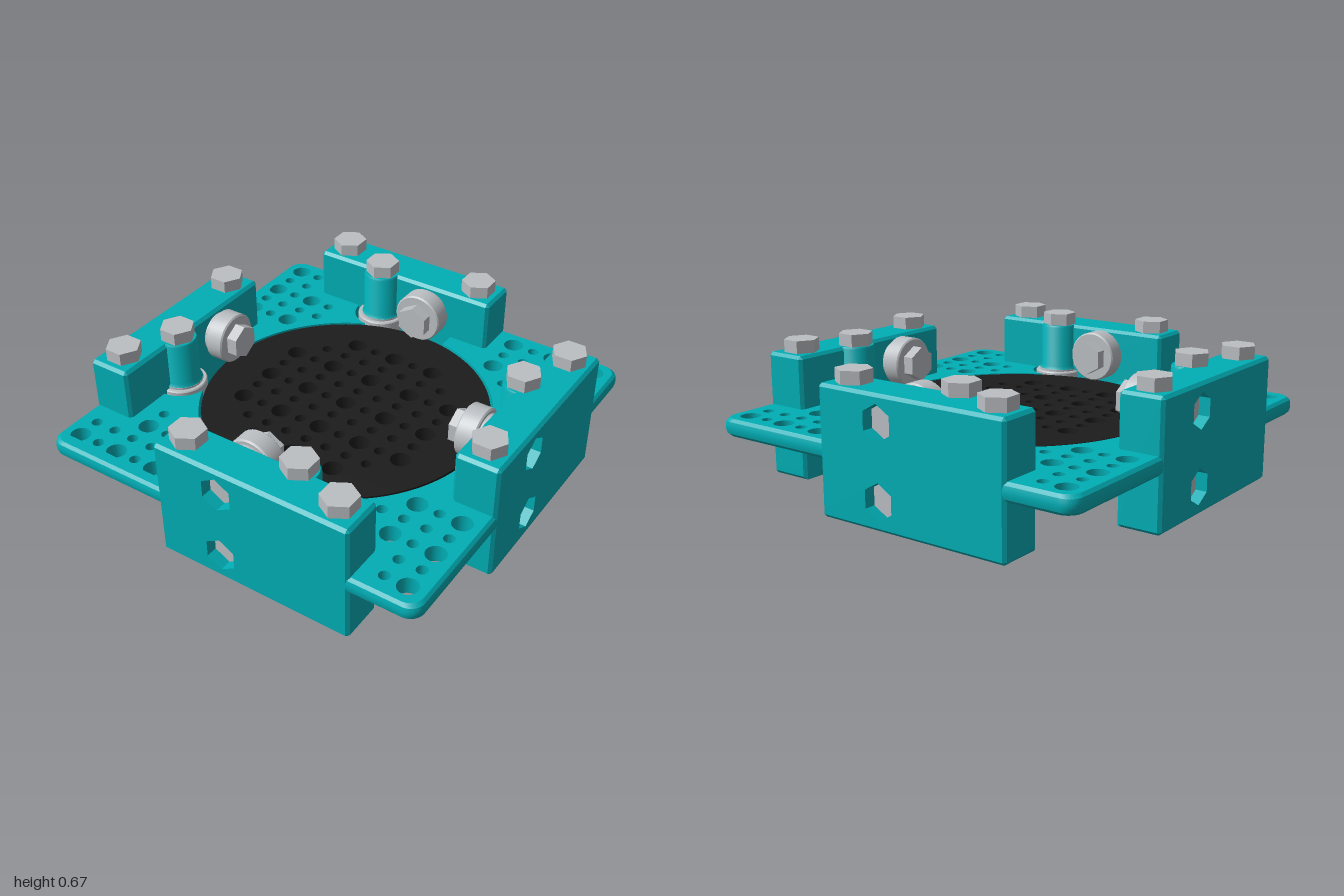
import * as THREE from 'three';
import { toCreasedNormals } from 'three/addons/utils/BufferGeometryUtils.js';

const PITCH = 0.112;

const mat = (name, color) => {
  const m = new THREE.MeshStandardMaterial({ color });
  m.name = name;
  return m;
};

export function createModel() {
  const teal = mat('teal', 0x00aeb5);
  const steel = mat('steel', 0xbbbfc3);
  const black = mat('black', 0x1c1c1c);
  const model = new THREE.Group();
  model.name = 'rollerStage';

  const add = (parent, name, geo, material, crease = 0.6) => {
    const m = new THREE.Mesh(toCreasedNormals(geo, crease), material);
    m.name = name;
    parent.add(m);
    return m;
  };

  // Move every vertex of a geometry by a rule
  const reshape = (geo, rule) => {
    const p = geo.attributes.position;
    const v = new THREE.Vector3();
    for (let i = 0; i < p.count; i++) {
      rule(v.fromBufferAttribute(p, i));
      p.setXYZ(i, v.x, v.y, v.z);
    }
    return geo;
  };

  const circle = (x, y, r) => new THREE.Path().absarc(x, y, r, 0, Math.PI * 2, true);

  // Hexagonal outline with a corner pointing along the second axis
  const hexPath = (x, y, r) => {
    const pts = [];
    for (let k = 0; k < 6; k++) {
      const a = Math.PI / 2 - k * Math.PI / 3;
      pts.push(new THREE.Vector2(x + r * Math.cos(a), y + r * Math.sin(a)));
    }
    return new THREE.Path(pts);
  };

  // Grid hole: wide where both indices are even, narrow elsewhere
  const gridHole = (i, j) =>
    circle(i * PITCH, j * PITCH, i % 2 === 0 && j % 2 === 0 ? 0.049 : 0.027);

  // Extrude a plan (x, z) shape between two heights
  const slab = (shape, y0, y1, steps = 1, curveSegments = 10) => {
    const g = new THREE.ExtrudeGeometry(shape, { depth: y1 - y0, bevelEnabled: false, steps, curveSegments });
    return g.rotateX(Math.PI / 2).translate(0, y1, 0);
  };

  // Perforated turntable disc
  const discShape = new THREE.Shape();
  for (let k = 0; k < 96; k++) {
    const a = k * Math.PI / 48;
    if (k === 0) discShape.moveTo(0.7, 0);
    else discShape.lineTo(0.7 * Math.cos(a), 0.7 * Math.sin(a));
  }
  for (let i = -4; i <= 4; i++) {
    for (let j = -4; j <= 4; j++) {
      if (Math.abs(i) + Math.abs(j) <= 6) discShape.holes.push(gridHole(i, j));
    }
  }
  add(model, 'turntableDisc', slab(discShape, 0.268, 0.352), black);

  // Frame plate with rounded corners
  const c = 0.93, r = 0.07;
  const plate = new THREE.Shape();
  plate.absarc(c, c, r, 0, Math.PI / 2, false);
  plate.absarc(-c, c, r, Math.PI / 2, Math.PI, false);
  plate.absarc(-c, -c, r, Math.PI, Math.PI * 1.5, false);
  plate.absarc(c, -c, r, Math.PI * 1.5, Math.PI * 2, false);

  // One quarter of the central opening: arc, wheel notch, bearing notch, arc
  const postX = 0.29, postZ = 0.785;
  const quarter = [];
  const arc = (cx, cz, rad, from, to, n) => {
    for (let k = 0; k <= n; k++) {
      const a = THREE.MathUtils.degToRad(from + (to - from) * k / n);
      quarter.push([cx + rad * Math.sin(a), cz + rad * Math.cos(a)]);
    }
  };
  arc(0, 0, 0.712, -44, -11.1, 14);
  quarter.push([-0.137, 0.79], [0.14, 0.79], [postX + 0.142, 0.79]);
  arc(postX, postZ, 0.142, 90, 174, 14);
  arc(0, 0, 0.712, 25.5, 45, 8);
  const opening = [];
  for (let q = 0; q < 4; q++) {
    const a = q * Math.PI / 2;
    for (const [x, z] of quarter) {
      opening.push(new THREE.Vector2(x * Math.cos(a) + z * Math.sin(a), z * Math.cos(a) - x * Math.sin(a)));
    }
  }
  plate.holes.push(new THREE.Path(opening));

  // Corner hole pattern, turned into all four corners
  const rows = { '-8': -7, '-7': -7, '-6': -5, '-5': -5, '-4': -6 };
  for (const [row, last] of Object.entries(rows)) {
    for (let i = -8; i <= last; i++) {
      let a = i, b = Number(row);
      for (let q = 0; q < 4; q++) {
        plate.holes.push(gridHole(a, b));
        [a, b] = [-b, a];
      }
    }
  }

  // Round over the outer rim only
  const plateGeo = reshape(slab(plate, 0.268, 0.354, 6), (v) => {
    if (Math.max(Math.abs(v.x), Math.abs(v.z)) < 0.96) return;
    const t = Math.min(1, Math.abs(v.y - 0.311) / 0.043);
    const s = 1 - 0.018 * (1 - Math.sqrt(1 - t * t));
    v.x *= s;
    v.z *= s;
  });
  add(model, 'framePlate', plateGeo, teal, 0.35);

  // Roller bracket for one side, built facing the front
  const x0 = -0.34, x1 = 0.675, zIn = 0.78, foot = 0.045, top = 0.612, b = 0.015;
  const hexR = 0.086;
  const bolts = [[-0.225, 0.887], [0.56, 0.887], [postX, postZ]];
  const wheelHeights = [0.483, 0.135];
  const insetX = (v) => { v.x = THREE.MathUtils.clamp(v.x, x0 + b, x1 - b); };

  const makeBracket = (name) => {
    const g = new THREE.Group();
    g.name = name;

    // Body with hexagonal pockets for the wheel bolts and softened edges
    const body = new THREE.Shape();
    body.moveTo(x0, foot);
    body.lineTo(x1, foot);
    body.lineTo(x1, top - b);
    body.lineTo(x1 - b, top);
    body.lineTo(x0 + b, top);
    body.lineTo(x0, top - b);
    for (const y of wheelHeights) body.holes.push(hexPath(0, y, hexR));
    const bodyGeo = new THREE.ExtrudeGeometry(body, { depth: 3, steps: 3, bevelEnabled: false });
    const layers = [zIn, zIn + b, 1 - b, 1];
    add(g, 'bracketBody', reshape(bodyGeo, (v) => {
      const layer = Math.round(v.z);
      v.z = layers[layer];
      if (layer === 0 || layer === 3) {
        insetX(v);
        v.y = Math.min(v.y, top - b);
      }
    }), teal);

    // Foot with nut pockets, softened edges and a bulge under the post
    const base = new THREE.Shape();
    base.moveTo(x0 + b, zIn);
    base.lineTo(postX - 0.135, zIn);
    base.absarc(postX, zIn, 0.135, Math.PI, Math.PI * 2, false);
    base.lineTo(x1 - b, zIn);
    base.lineTo(x1, zIn + b);
    base.lineTo(x1, 1 - b);
    base.lineTo(x1 - b, 1);
    base.lineTo(x0 + b, 1);
    base.lineTo(x0, 1 - b);
    base.lineTo(x0, zIn + b);
    for (const [x, z] of bolts) base.holes.push(hexPath(x, z, 0.082));
    add(g, 'bracketFoot', reshape(slab(base, 0, foot, 3, 16), (v) => {
      if (v.y > 0.005) return;
      insetX(v);
      v.z = Math.min(v.z, 1 - b);
    }), teal);

    // Upper and lower posts that clamp the bearing
    const lathe = (label, pts, material) => add(g, label,
      new THREE.LatheGeometry(pts.map(([a, h]) => new THREE.Vector2(a, h)), 32).translate(postX, 0, postZ), material);
    lathe('lowerPost', [[0, foot], [0.135, foot], [0.135, 0.13], [0.125, 0.16], [0.105, 0.19], [0.1, 0.21],
      [0.1, 0.25], [0, 0.25]], teal);
    lathe('upperPost', [[0, 0.372], [0.105, 0.372], [0.094, 0.39], [0.094, top - 0.01], [0.088, top], [0, top]], teal);
    lathe('guideBearing', [[0, 0.248], [0.105, 0.248], [0.105, 0.258], [0.12, 0.258], [0.125, 0.264], [0.125, 0.358],
      [0.12, 0.364], [0.105, 0.364], [0.105, 0.374], [0, 0.374]], steel);

    // Vertical bolts and their nuts
    for (const [x, z] of bolts) {
      add(g, 'boltHead', new THREE.CylinderGeometry(hexR, hexR, 0.064, 6).translate(x, top + 0.03, z), steel);
      add(g, 'boltNut', new THREE.CylinderGeometry(0.08, 0.08, 0.015, 6).translate(x, 0.04, z), steel);
    }

    // Support wheels above and below the disc
    for (const y of wheelHeights) {
      const wheel = new THREE.LatheGeometry([[0, 0.66], [0.12, 0.66], [0.127, 0.667], [0.127, 0.75], [0.12, 0.757],
        [0.104, 0.757], [0.104, 0.782], [0, 0.782]].map(([a, h]) => new THREE.Vector2(a, h)), 32);
      add(g, 'supportWheel', wheel.rotateX(Math.PI / 2).translate(0, y, 0), steel);
      const hex = (label, rad, za, zb) => add(g, label,
        new THREE.CylinderGeometry(rad, rad, zb - za, 6).rotateX(Math.PI / 2).translate(0, y, (za + zb) / 2), steel);
      hex('wheelNut', hexR, 0.605, 0.662);
      hex('wheelBolt', hexR - 0.002, 0.785, 0.945);
    }
    return g;
  };

  ['frontBracket', 'leftBracket', 'backBracket', 'rightBracket'].forEach((name, k) => {
    const bracket = makeBracket(name);
    bracket.rotation.y = k * Math.PI / 2;
    model.add(bracket);
  });

  return model;
}
